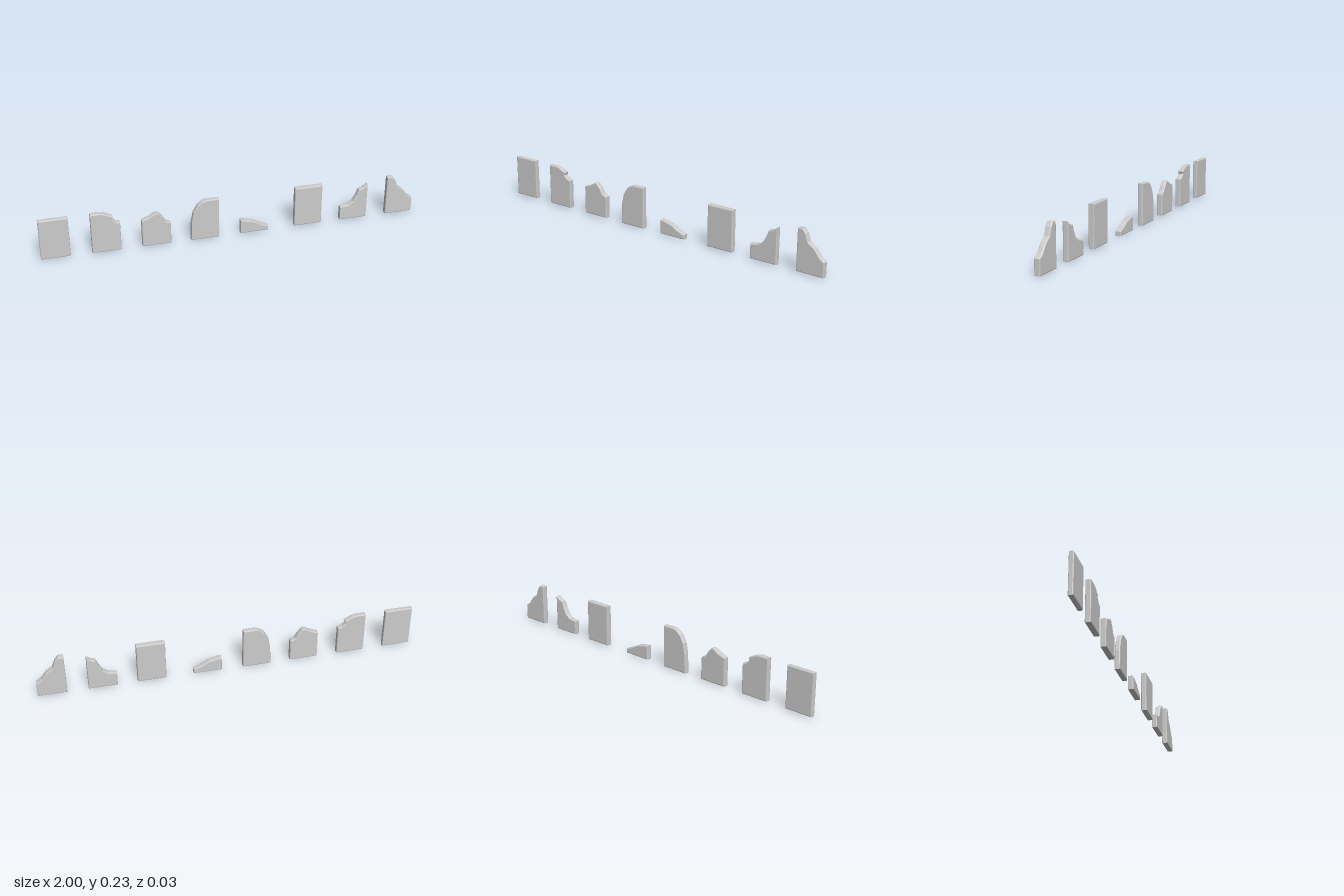
import * as THREE from 'three';

const material = new THREE.MeshStandardMaterial({ color: 0xcccccc, flatShading: true });
const WIDTH = 0.15;
const BEVEL = 0.005;

// Each plank: left edge x, base y, thickness, z centre, and the worn top edge
// as [offset from left, height] points running from right to left.
const planks = [
  { name: 'wholePlank', x: -1, base: 0.007, depth: 0.026, z: -0.001,
    top: [[0.15, 0.23], [0, 0.23]] },
  { name: 'chippedCornerPlank', x: -0.74, base: 0.006, depth: 0.03, z: 0,
    top: [[0.15, 0.165], [0.128, 0.172], [0.11, 0.19], [0.115, 0.205], [0.07, 0.226], [0.05, 0.23], [0, 0.23]] },
  { name: 'peakedPlank', x: -0.48, base: 0.006, depth: 0.031, z: 0,
    top: [[0.15, 0.125], [0.124, 0.137], [0.108, 0.165], [0.088, 0.188], [0.074, 0.193], [0.04, 0.172], [0, 0.158]] },
  { name: 'roundedPlank', x: -0.225, base: 0.003, depth: 0.029, z: 0,
    top: [[0.15, 0.23], [0.08, 0.23], [0.06, 0.222], [0.038, 0.205], [0.015, 0.165], [0.004, 0.11]] },
  { name: 'stumpPlank', x: 0.04, base: 0.006, depth: 0.032, z: 0.001,
    top: [[0.15, 0.03], [0.11, 0.047], [0.07, 0.069], [0.025, 0.08], [0, 0.083]] },
  { name: 'secondWholePlank', x: 0.335, base: 0.007, depth: 0.031, z: 0,
    top: [[0.15, 0.231], [0, 0.231]] },
  { name: 'steppedPlank', x: 0.59, base: 0.006, depth: 0.03, z: 0,
    top: [[0.15, 0.2], [0.125, 0.182], [0.102, 0.175], [0.09, 0.142], [0.07, 0.107], [0.045, 0.09], [0, 0.083]] },
  { name: 'slopedPlank', x: 0.85, base: 0.006, depth: 0.031, z: 0,
    top: [[0.15, 0.085], [0.122, 0.106], [0.095, 0.142], [0.06, 0.167], [0.045, 0.208], [0.028, 0.23], [0, 0.226]] },
];

function makePlank({ name, x, base, depth, z, top }) {
  // Outline with the broken edge on top
  const outline = [[0, base], [WIDTH, base], ...top]
    .map(([px, py]) => new THREE.Vector2(x + px, py));
  const geometry = new THREE.ExtrudeGeometry(new THREE.Shape(outline), {
    depth: depth - 2 * BEVEL,
    bevelEnabled: true,
    bevelThickness: BEVEL,
    bevelSize: BEVEL,
    bevelOffset: -BEVEL,
    bevelSegments: 2,
  });
  geometry.translate(0, 0, z - depth / 2 + BEVEL);
  const mesh = new THREE.Mesh(geometry, material);
  mesh.name = name;
  return mesh;
}

export function createModel() {
  const group = new THREE.Group();
  group.name = 'brokenPlanks';
  planks.forEach((plank) => group.add(makePlank(plank)));
  return group;
}
